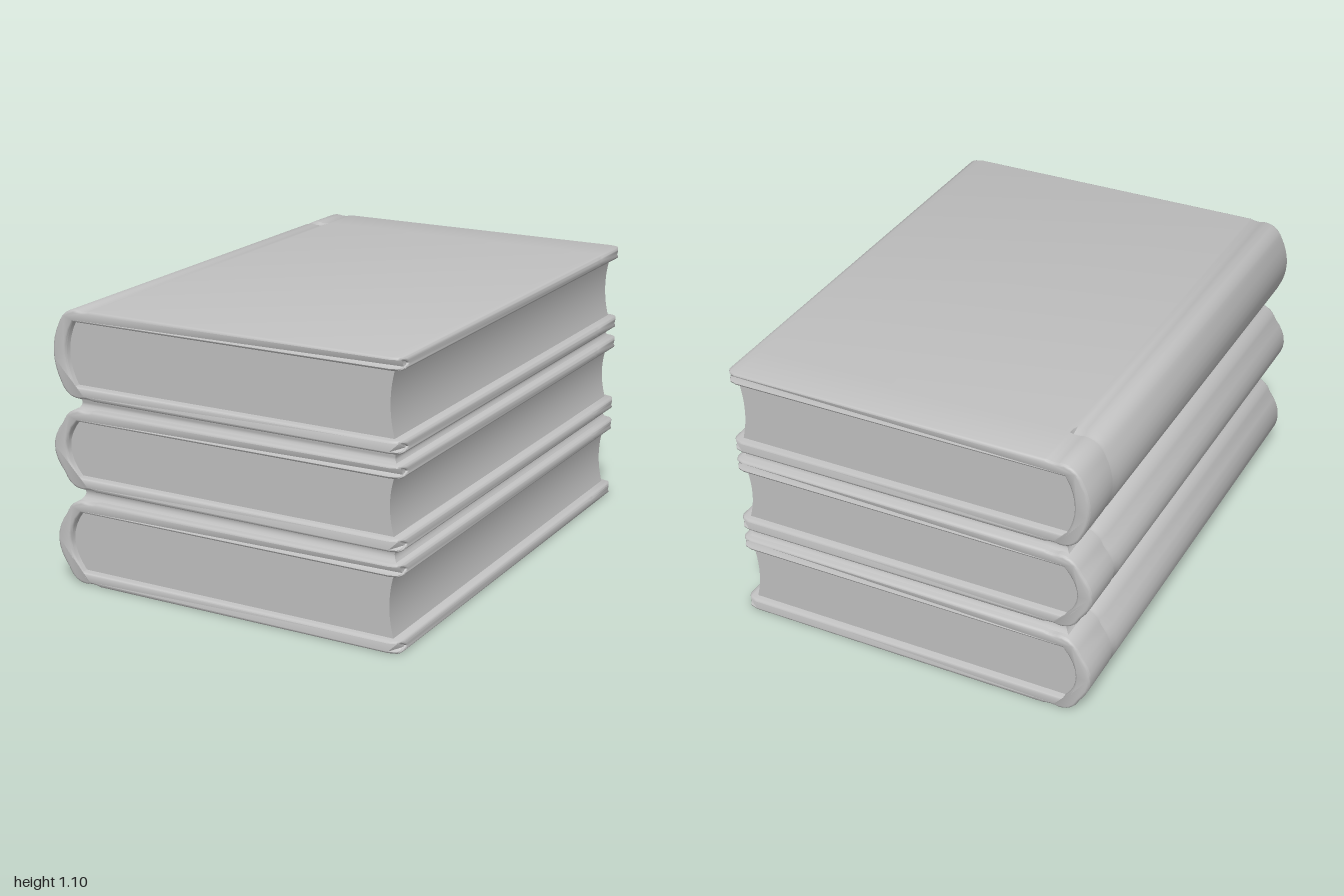
import * as THREE from 'three';
import { toCreasedNormals } from 'three/addons/utils/BufferGeometryUtils.js';

const COVER = 0.05; // board thickness
const TIP = 0.75; // fore-edge of the boards
const CORNER = 0.05; // plan radius of the board corners

// Wrap-round binding seen from the end: two boards joined by a rounded spine
function coverOutline(y0, y1, spineX) {
  const mid = (y0 + y1) / 2;
  const s = new THREE.Shape();
  const tip = (a, b) => {
    s.lineTo(0.7, a);
    s.lineTo(0.728, a);
    s.quadraticCurveTo(TIP, a, TIP, (a + b) / 2);
    s.quadraticCurveTo(TIP, b, 0.728, b);
    s.lineTo(0.7, b);
  };
  s.moveTo(-0.56, y0);
  tip(y0, y0 + COVER);
  s.lineTo(-0.64, y0 + COVER);
  s.quadraticCurveTo(2 * (spineX + 0.06) + 0.64, mid, -0.64, y1 - COVER);
  tip(y1 - COVER, y1);
  s.lineTo(-0.56, y1);
  s.quadraticCurveTo(-0.59, y1 - 0.01, -0.62, y1 - 0.002); // hinge dip
  s.quadraticCurveTo(-0.68, y1, -0.705, y1 - 0.06);
  s.quadraticCurveTo(2 * spineX + 0.705, mid, -0.705, y0 + 0.06);
  s.quadraticCurveTo(-0.68, y0, -0.62, y0 + 0.002);
  s.quadraticCurveTo(-0.59, y0 + 0.01, -0.56, y0);
  const pts = s.getPoints(8);
  if (pts[0].distanceTo(pts[pts.length - 1]) < 1e-5) pts.pop();
  return pts;
}

// Loft the outline along z with softened ends and a groove across the spine
function coverGeometry(y0, y1, spineX) {
  const pts = coverOutline(y0, y1, spineX);
  const n = pts.length;
  const inward = pts.map((p, i) => {
    const d = pts[(i + 1) % n].clone().sub(pts[(i + n - 1) % n]).normalize();
    return new THREE.Vector2(-d.y, d.x);
  });
  const onSpine = (p) => p.x < -0.57 &&
    (p.x < -0.695 || p.y < y0 + COVER - 0.001 || p.y > y1 - COVER + 0.001);
  // z, inset all round, inset on the spine only
  const stations = [
    [-1, 0.009, 0], [-0.997, 0.003, 0], [-0.99, 0, 0], [-0.805, 0, 0],
    [-0.795, 0, 0.014], [-0.78, 0, 0.012], [-0.755, 0, 0],
    [0.99, 0, 0], [0.997, 0.003, 0], [1, 0.009, 0],
  ];
  const position = [];
  const index = [];
  stations.forEach(([z, inset, groove], s) => pts.forEach((p, i) => {
    const k = inset + (onSpine(p) ? groove : 0);
    const over = Math.max(0, p.x - (TIP - CORNER));
    const reach = 1 - CORNER + Math.sqrt(Math.max(0, CORNER ** 2 - over ** 2));
    position.push(p.x + inward[i].x * k, p.y + inward[i].y * k, z * reach);
    if (s === stations.length - 1) return;
    const a = s * n + i;
    const b = s * n + (i + 1) % n;
    index.push(a, b, b + n, a, b + n, a + n);
  }));
  const last = (stations.length - 1) * n;
  for (const [a, b, c] of THREE.ShapeUtils.triangulateShape(pts, [])) {
    index.push(c, b, a, last + a, last + b, last + c);
  }
  const g = new THREE.BufferGeometry();
  g.setAttribute('position', new THREE.Float32BufferAttribute(position, 3));
  g.setIndex(index);
  return toCreasedNormals(g, 0.75);
}

// Page block with a hollow fore-edge and a back that follows the spine
function pagesGeometry(y0, y1, spineX) {
  const mid = (y0 + y1) / 2;
  const a = y0 + COVER - 0.01;
  const b = y1 - COVER + 0.01;
  const s = new THREE.Shape();
  s.moveTo(-0.645, a);
  s.lineTo(0.71, a);
  s.quadraticCurveTo(0.67, mid, 0.71, b);
  s.lineTo(-0.645, b);
  s.quadraticCurveTo(2 * (spineX + 0.05) + 0.645, mid, -0.645, a);
  const g = new THREE.ExtrudeGeometry(s, { depth: 1.94, bevelEnabled: false, curveSegments: 12 });
  g.translate(0, 0, -0.97);
  return toCreasedNormals(g, 0.6);
}

// Thin filler between two books, hollowed on its exposed edges
function fillerGeometry(y0, y1) {
  const g = new THREE.BoxGeometry(1.37, y1 - y0, 1.95, 1, 6, 1);
  const p = g.attributes.position;
  for (let i = 0; i < p.count; i++) {
    const hollow = 0.015 * (1 - (2 * p.getY(i) / (y1 - y0)) ** 2);
    p.setX(i, p.getX(i) - Math.sign(p.getX(i)) * hollow);
    p.setZ(i, p.getZ(i) - Math.sign(p.getZ(i)) * hollow);
  }
  g.translate(0.035, (y0 + y1) / 2, 0);
  return toCreasedNormals(g, 0.9);
}

export function createModel() {
  const model = new THREE.Group();
  model.name = 'bookStack';
  const grey = new THREE.MeshStandardMaterial({ color: 0xc0c0c0 });
  grey.name = 'plain grey';
  const add = (parent, name, geometry) => {
    const mesh = new THREE.Mesh(geometry, grey);
    mesh.name = name;
    parent.add(mesh);
  };

  // Bottom, top and spine position of each book
  const books = [
    ['bottomBook', 0.005, 0.348, -0.75],
    ['middleBook', 0.388, 0.71, -0.75],
    ['topBook', 0.75, 1.1, -0.735],
  ];
  books.forEach(([name, y0, y1, spineX], i) => {
    const book = new THREE.Group();
    book.name = name;
    add(book, 'cover', coverGeometry(y0, y1, spineX));
    add(book, 'pages', pagesGeometry(y0, y1, spineX));
    model.add(book);
    if (i > 0) add(model, 'filler', fillerGeometry(books[i - 1][2] - 0.008, y0 + 0.008));
  });
  // Rest the lowest board on the ground
  model.children[0].position.y = -0.005;
  return model;
}
